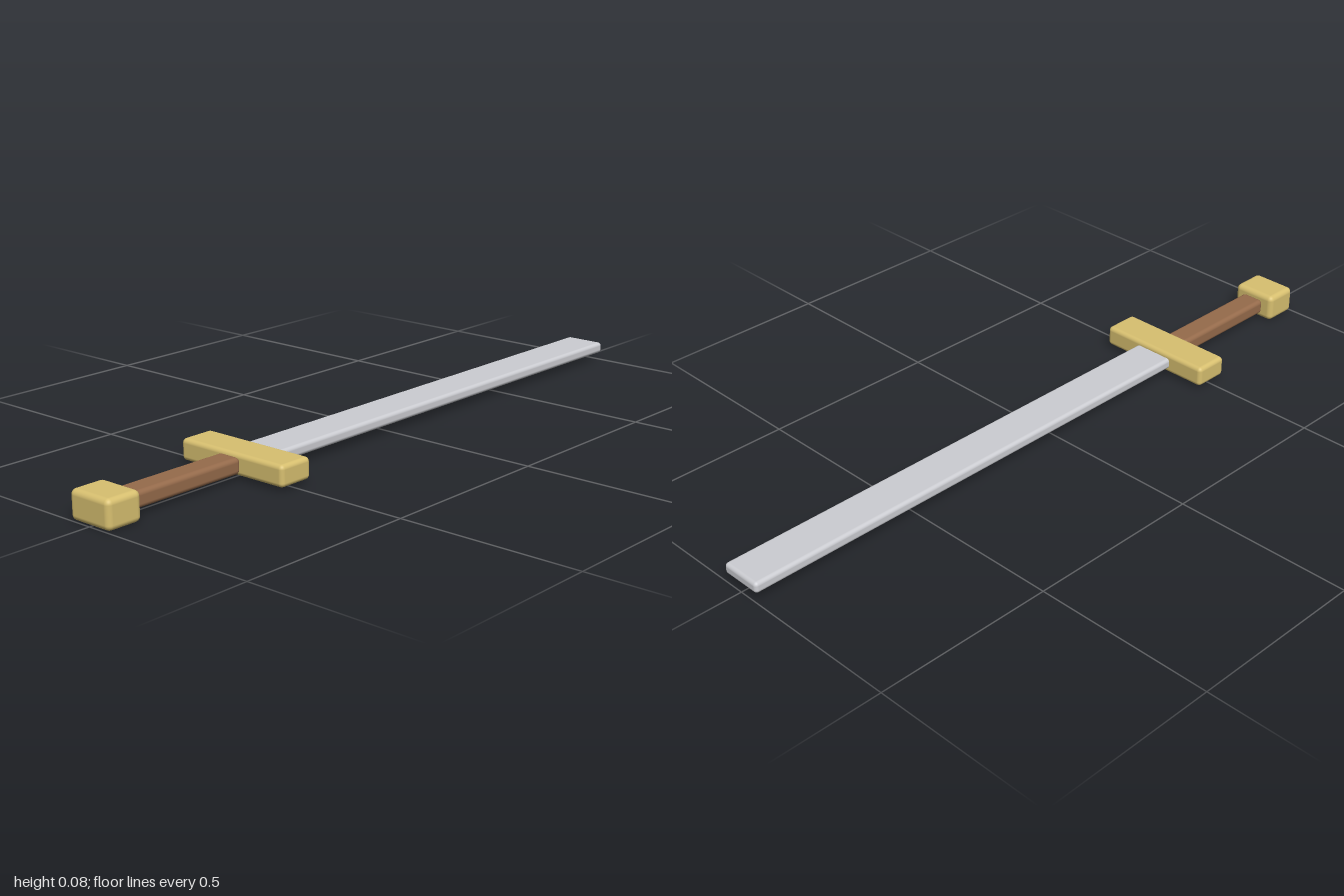
import * as THREE from 'three';
import { RoundedBoxGeometry } from 'three/addons/geometries/RoundedBoxGeometry.js';

const CENTRE_Y = 0.039;

export function createModel() {
  const sword = new THREE.Group();
  sword.name = 'sword';

  const steel = new THREE.MeshStandardMaterial({ color: 0xcccdd2 });
  const gold = new THREE.MeshStandardMaterial({ color: 0xd8c070 });
  const leather = new THREE.MeshStandardMaterial({ color: 0x966b4b });

  // Rounded bar spanning x0..x1, centred on the sword's axis
  function bar(name, x0, x1, height, depth, radius, material) {
    const geometry = new RoundedBoxGeometry(x1 - x0, height, depth, 4, radius);
    const mesh = new THREE.Mesh(geometry, material);
    mesh.name = name;
    mesh.position.set((x0 + x1) / 2, CENTRE_Y, 0);
    sword.add(mesh);
  }

  bar('pommel', -1, -0.898, 0.078, 0.134, 0.015, gold);
  bar('grip', -0.9, -0.548, 0.044, 0.07, 0.012, leather);
  bar('crossguard', -0.55, -0.448, 0.058, 0.348, 0.012, gold);
  bar('blade', -0.46, 1, 0.031, 0.121, 0.01, steel);

  return sword;
}
